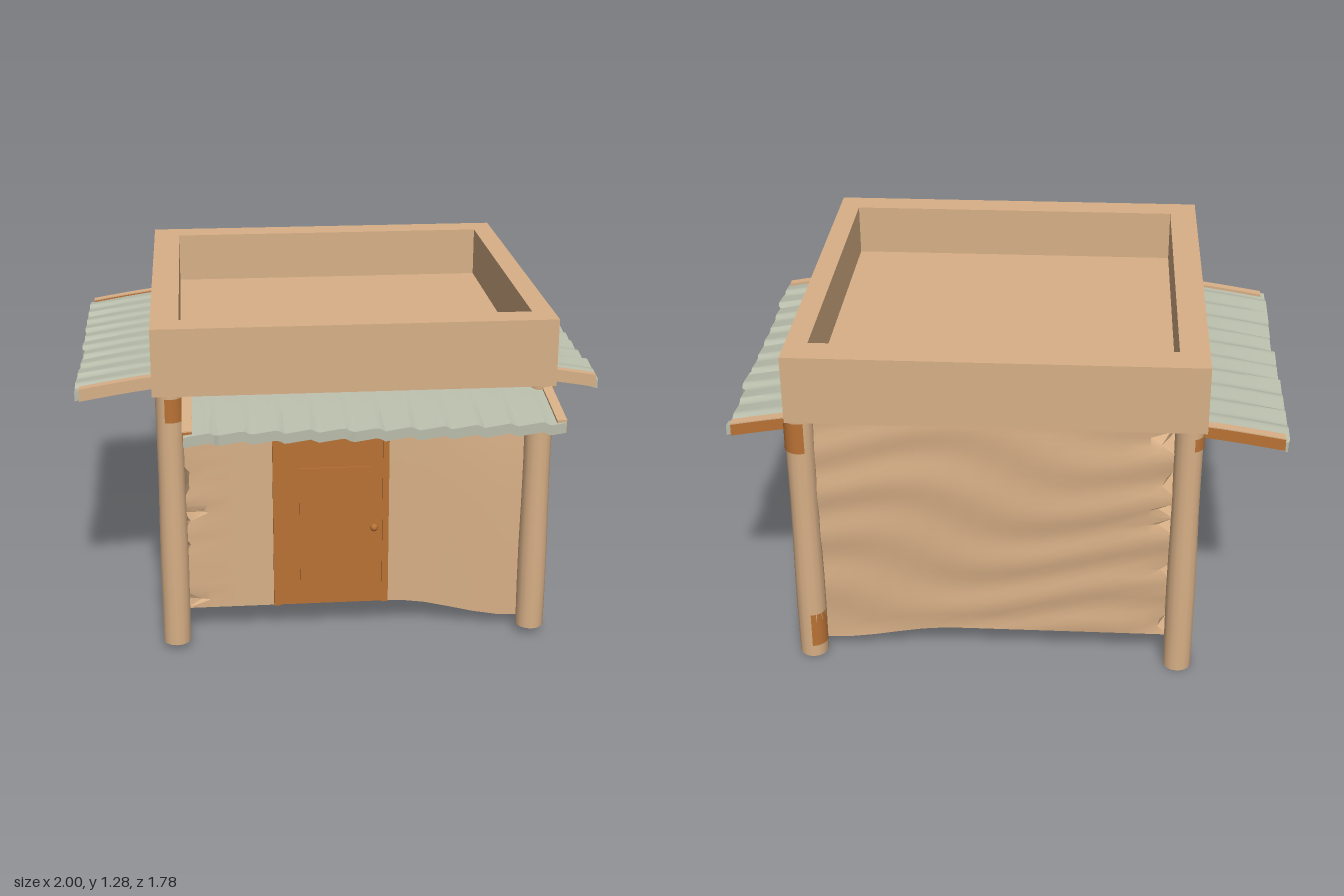
import * as THREE from 'three';
import { toCreasedNormals } from 'three/addons/utils/BufferGeometryUtils.js';

const mat = (name, color) => Object.assign(new THREE.MeshStandardMaterial({ color }), { name });

export function createModel() {
  const adobe = mat('adobe', 0xd8b087);
  const wood = mat('wood', 0xb97235);
  const tin = mat('tin', 0xbabeac);
  const glass = mat('glass', 0x566764);
  const root = new THREE.Group();

  const add = (parent, name, geo, material, x = 0, y = 0, z = 0) => {
    const m = new THREE.Mesh(geo, material);
    m.name = name;
    m.position.set(x, y, z);
    parent.add(m);
  };
  // box given by its limits
  const block = (parent, name, material, x0, x1, y0, y1, z0, z1) =>
    add(parent, name, new THREE.BoxGeometry(x1 - x0, y1 - y0, z1 - z0), material,
      (x0 + x1) / 2, (y0 + y1) / 2, (z0 + z1) / 2);
  const group = (name, x, y, z, turn = 0) => {
    const g = new THREE.Group();
    g.name = name;
    g.position.set(x, y, z);
    g.rotation.y = turn;
    root.add(g);
    return g;
  };
  // move every vertex by a rule, then smooth all but the sharp edges
  const reshape = (geo, rule, crease) => {
    const p = geo.attributes.position, v = new THREE.Vector3();
    for (let i = 0; i < p.count; i++) {
      rule(v.fromBufferAttribute(p, i));
      p.setXYZ(i, v.x, v.y, v.z);
    }
    return toCreasedNormals(geo, crease);
  };
  const hash = (n) => {
    const s = Math.sin(n * 127.1) * 43758.5453;
    return s - Math.floor(s);
  };
  const near = (a, b) => Math.abs(a - b) < 1e-4;

  // Mud walls: uneven lower edge, ragged corners, faintly ridged back
  const X0 = -0.61, X1 = 0.69, Z0 = -0.80, Z1 = 0.46, ROWS = 28;
  const wallGeo = new THREE.BoxGeometry(X1 - X0, 1, Z1 - Z0, 14, ROWS, 14);
  wallGeo.translate((X0 + X1) / 2, 0.5, (Z0 + Z1) / 2);
  const walls = reshape(wallGeo, (v) => {
    const { x, y: t, z } = v;
    const row = Math.round(t * ROWS);
    const right = THREE.MathUtils.smoothstep(x, 0.2, 0.66);
    const front = near(z, Z1), back = near(z, Z0), left = near(x, X0);
    const arch = Math.sin(Math.PI * (z - Z0) / (Z1 - Z0));
    const low = THREE.MathUtils.lerp(0.105, 0.045 + 0.042 * arch, right);
    v.y = low + t * (1.04 - low);
    if (front) v.z += 0.045 * right * (1 - t ** 5);
    if (back) v.z -= 0.03 * Math.min(1, t * 1.5);
    const inside = row > 0 && row < ROWS;
    if (back && inside) v.z += 0.005 * Math.sin(t * 27 + Math.sin(x * 5 + t * 4) * 2.2);
    if (left && (front || back) && inside) {
      const bite = hash(row + (back ? 40 : 3)) ** 5;
      v.x += 0.1 * bite;
      v.z += (front ? -0.02 : 0.02) * bite;
    }
  }, 0.6);
  add(root, 'walls', walls, adobe);

  // Roof parapet with sunken deck
  const ring = (path, x0, x1, z0, z1) => path
    .moveTo(x0, -z1).lineTo(x1, -z1).lineTo(x1, -z0).lineTo(x0, -z0).lineTo(x0, -z1);
  const outline = new THREE.Shape(), well = new THREE.Path();
  ring(outline, -0.71, 0.77, -0.89, 0.61);
  ring(well, -0.605, 0.69, -0.77, 0.50);
  outline.holes.push(well);
  const parapet = new THREE.ExtrudeGeometry(outline, { depth: 0.255, bevelEnabled: false });
  parapet.rotateX(-Math.PI / 2);
  add(root, 'parapet', parapet, adobe, 0, 1.03, 0);
  block(root, 'roofDeck', adobe, -0.61, 0.695, 1.031, 1.087, -0.775, 0.505);

  // Corner posts with slightly uneven thickness and bare wood patches
  const R = 0.05;
  const post = (name, x, z, y0) => {
    const h = 1.03 - y0;
    const geo = reshape(new THREE.CylinderGeometry(R, R + 0.004, h, 14, 6), (v) => {
      const k = 1 + 0.03 * Math.sin(v.y * 9 + x * 5);
      v.x *= k;
      v.z *= k;
    }, 0.8);
    add(root, name, geo, adobe, x, y0 + h / 2, z);
  };
  const patch = (x, z, y0, y1, angle, arc) => {
    const geo = new THREE.CylinderGeometry(R + 0.004, R + 0.005, y1 - y0, 8, 1, true, angle - arc / 2, arc);
    add(root, 'barePatch', geo, wood, x, (y0 + y1) / 2, z);
  };
  post('frontRightPost', -0.65, 0.56, 0.025);
  post('frontLeftPost', 0.72, 0.56, 0.035);
  post('backRightPost', -0.65, -0.83, 0);
  post('backLeftPost', 0.73, -0.83, 0.01);
  patch(-0.65, 0.56, 0.93, 1.02, 0.4, 1.4);
  patch(-0.65, 0.56, 0.74, 0.92, Math.PI, 2.4);
  patch(-0.65, 0.56, 0.04, 0.22, Math.PI, 2.8);
  patch(0.72, 0.56, 0.93, 1.0, 2.3, 1.4);
  patch(0.72, 0.56, 0.08, 0.15, 2.9, 1.0);
  patch(0.73, -0.83, 0.90, 1.02, 2.6, 2.0);
  patch(0.73, -0.83, 0.06, 0.2, 3.9, 1.4);
  patch(-0.65, -0.83, 0.95, 1.0, 4.0, 1.0);

  // Corrugated awnings: length on x, sloping down towards +z
  const awning = (name, x, z, length, depth, turn, woodEnd) => {
    const g = group(name, x, 0, z, turn);
    const slope = (s) => 1.015 - 0.047 * Math.max(s, 0) ** 1.15;
    const ribs = length * 8.5;
    const geo = new THREE.BoxGeometry(length, 0.03, depth, 88, 1, 4);
    geo.translate(0, 0, depth / 2);
    add(g, 'corrugatedSheet', reshape(geo, (v) => {
      const s = v.z / depth, u = (v.x / length + 0.5) * ribs;
      const f = u - Math.floor(u);
      const wave = (f < 0.8 ? f / 0.8 : (1 - f) / 0.2) - 0.5;
      const under = v.y < 0;
      v.y += slope(s) + 0.014 * wave * (0.4 + 0.6 * s);
      if (s > 0.99) {
        v.z += 0.016 * (hash(Math.floor(u) + x * 10) - 0.5);
        if (under) v.y -= 0.008;
      }
    }, 0.5), tin);
    // sloped rafters closing both ends, tucked behind the sheet's lip
    const reach = depth - 0.012;
    for (const side of [-1, 1]) {
      const rafter = (label, thick, lift, material, wide) => {
        const r = new THREE.BoxGeometry(wide, thick, reach, 1, 1, 4);
        r.translate(0, 0, reach / 2);
        add(g, label, reshape(r, (v) => { v.y += slope(v.z / depth) + lift; }, 0.5),
          material, side * (length / 2 - 0.014), 0, 0);
      };
      rafter('rafter', 0.044, -0.003, side === woodEnd ? wood : adobe, 0.034);
      rafter('rafterCap', 0.004, 0.021, adobe, 0.036);
    }
  };
  awning('frontAwning', 0.075, 0.50, 1.35, 0.38, 0, -1);
  awning('leftAwning', 0.69, -0.225, 1.23, 0.295, Math.PI / 2, 1);
  awning('rightAwning', -0.69, -0.225, 1.23, 0.308, -Math.PI / 2, -1);

  // Door with jambs, rolled lintel, panel and knob
  const door = group('door', -0.05, 0, Z1);
  block(door, 'doorLeaf', wood, -0.20, 0.20, 0.11, 0.84, -0.02, 0.010);
  block(door, 'doorPanel', wood, -0.12, 0.15, 0.19, 0.68, 0.0, 0.015);
  block(door, 'doorTopPanel', wood, -0.13, 0.15, 0.75, 0.81, 0.0, 0.015);
  for (const s of [-1, 1]) block(door, 'doorJamb', wood, s * 0.21 - 0.012, s * 0.21 + 0.012, 0.11, 0.84, -0.02, 0.018);
  const lintel = new THREE.CylinderGeometry(0.03, 0.03, 0.44, 10);
  lintel.rotateZ(Math.PI / 2);
  add(door, 'doorLintel', lintel, wood, 0, 0.85, 0.003);
  add(door, 'doorKnob', new THREE.SphereGeometry(0.015, 10, 8), wood, 0.165, 0.43, 0.022);

  // Sash windows, one on each side wall
  const sashWindow = (name, x, turn) => {
    const g = group(name, x, 0, -0.29, turn);
    for (const s of [-1, 1]) block(g, 'windowStile', wood, s * 0.15 - 0.02, s * 0.15 + 0.02, 0.42, 0.83, -0.02, 0.03);
    block(g, 'windowHead', wood, -0.17, 0.17, 0.795, 0.83, -0.02, 0.034);
    block(g, 'windowUpperRail', wood, -0.14, 0.14, 0.735, 0.80, -0.02, 0.018);
    block(g, 'windowLowerRail', wood, -0.14, 0.14, 0.43, 0.46, -0.02, 0.02);
    block(g, 'windowMiddleRail', wood, -0.14, 0.14, 0.59, 0.608, -0.02, 0.022);
    block(g, 'windowSill', wood, -0.178, 0.178, 0.40, 0.435, -0.02, 0.038);
    block(g, 'windowGlass', glass, -0.14, 0.14, 0.45, 0.75, 0.001, 0.008);
  };
  sashWindow('leftWindow', X1, Math.PI / 2);
  sashWindow('rightWindow', X0, -Math.PI / 2);

  return root;
}
